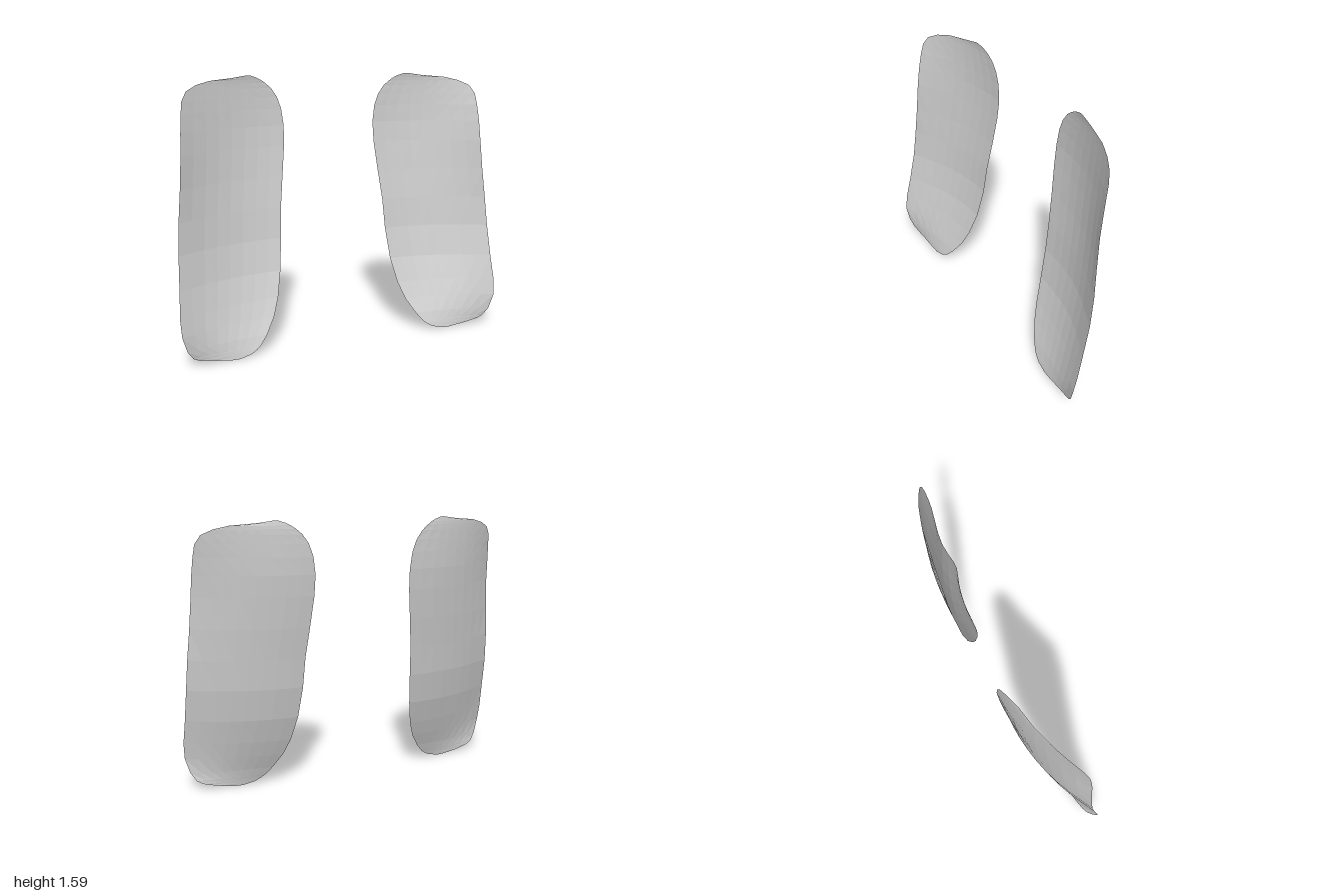
import * as THREE from 'three';

// Outline rows from bottom to top: height, inner x, outer x, inner depth, outer depth
const ROWS = [
  [0.003, 0.66, 0.70, 0.118, 0.145],
  [0.02, 0.59, 0.82, 0.112, 0.153],
  [0.04, 0.555, 0.90, 0.105, 0.161],
  [0.06, 0.53, 0.935, 0.097, 0.168],
  [0.11, 0.488, 0.968, 0.078, 0.179],
  [0.20, 0.432, 0.995, 0.04, 0.179],
  [0.30, 0.394, 1.0, 0.003, 0.162],
  [0.45, 0.362, 0.99, -0.045, 0.128],
  [0.64, 0.342, 0.98, -0.085, 0.09],
  [0.82, 0.332, 0.968, -0.108, 0.069],
  [1.0, 0.311, 0.95, -0.135, 0.055],
  [1.18, 0.291, 0.936, -0.158, 0.042],
  [1.30, 0.287, 0.929, -0.17, 0.028],
  [1.40, 0.3, 0.92, -0.174, 0.013],
  [1.47, 0.325, 0.91, -0.175, 0.001],
  [1.52, 0.36, 0.88, -0.175, -0.007],
  [1.55, 0.395, 0.82, -0.174, -0.012],
  [1.57, 0.425, 0.74, -0.172, -0.016],
  [1.582, 0.45, 0.60, -0.17, -0.018],
  [1.595, 0.49, 0.51, -0.168, -0.02],
];
const COLUMNS = 8;

// Curved shell: the inner side is almost flat, the outer side wraps forward
function shellGeometry() {
  const positions = [];
  const indices = [];
  ROWS.forEach(([y, xInner, xOuter, zInner, zOuter], r) => {
    const left = 0.375 - 0.065 * y;
    const right = 1.01 - 0.063 * y;
    for (let c = 0; c <= COLUMNS; c++) {
      const x = THREE.MathUtils.lerp(xInner, xOuter, c / COLUMNS);
      const u = THREE.MathUtils.clamp((x - left) / (right - left), 0, 1);
      positions.push(x, y, THREE.MathUtils.lerp(zInner, zOuter, u ** 2.2));
      if (r && c) {
        const d = r * (COLUMNS + 1) + c;
        const b = d - COLUMNS - 1;
        indices.push(b - 1, b, d, b - 1, d, d - 1);
      }
    }
  });
  const geometry = new THREE.BufferGeometry();
  geometry.setAttribute('position', new THREE.Float32BufferAttribute(positions, 3));
  geometry.setIndex(indices);
  geometry.computeVertexNormals();
  return geometry;
}

export function createModel() {
  const group = new THREE.Group();
  group.name = 'curvedPanels';
  const material = new THREE.MeshStandardMaterial({
    name: 'light grey', color: 0xcccccc, flatShading: true, side: THREE.DoubleSide,
  });

  // Mirrored pair of panels
  const geometry = shellGeometry();
  for (const side of [1, -1]) {
    const panel = new THREE.Mesh(geometry, material);
    panel.name = side > 0 ? 'leftPanel' : 'rightPanel';
    panel.scale.x = side;
    group.add(panel);
  }
  return group;
}
